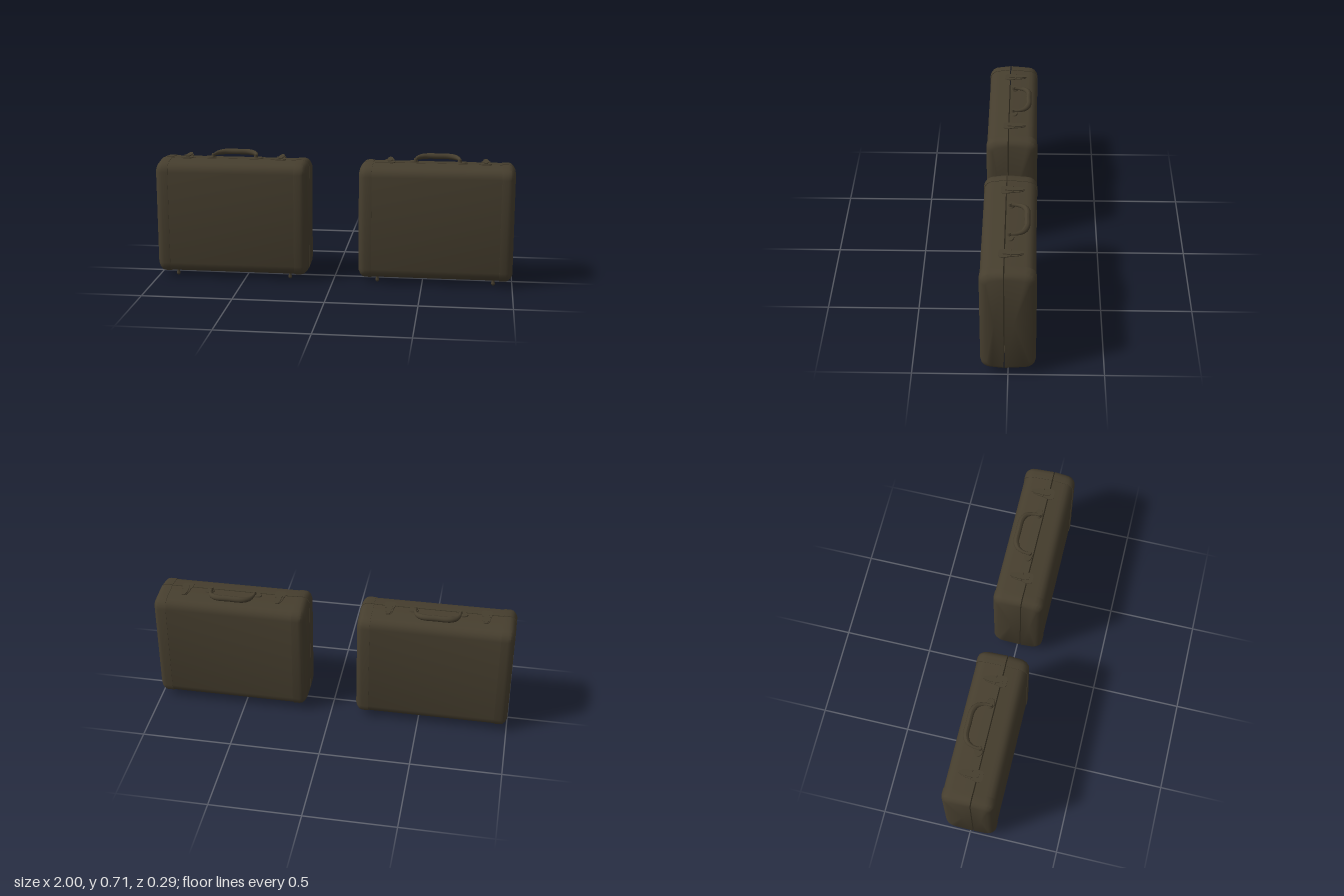
import * as THREE from 'three';
import { toCreasedNormals } from 'three/addons/utils/BufferGeometryUtils.js';

const GAP_Z = 0.02;
const TOP = 0.674;

// Half cross-section in (z, y): from the gap at the top, round the outside, to the gap at the bottom
function section(side, inset) {
  const gap = GAP_Z + side * 0.003;
  const outer = side * (0.144 - inset);
  const r = Math.max(0.056 - inset * 0.8, 0.02);
  const top = 0.665 - inset, bottom = 0.028 + inset;
  const pts = [[gap, TOP - inset]];
  for (let i = 0; i <= 4; i++) {
    const a = (i / 4) * Math.PI / 2;
    pts.push([outer - side * r * (1 - Math.sin(a)), top - r * (1 - Math.cos(a))]);
  }
  for (let i = 0; i <= 4; i++) {
    const a = (i / 4) * Math.PI / 2;
    pts.push([outer - side * r * (1 - Math.cos(a)), bottom + r * (1 - Math.sin(a))]);
  }
  pts.push([gap, 0.02 + inset]);
  return pts;
}

// Closed solid through half cross-sections given as [x, inset], x increasing
function loftHalf(side, stations) {
  const pos = [], index = [];
  const n = section(side, 0).length;
  const tri = (a, b, c) => (side > 0 ? index.push(a, b, c) : index.push(a, c, b));
  for (const [x, inset] of stations) {
    for (const [z, y] of section(side, inset)) pos.push(x, y, z);
  }
  const rows = stations.length;
  for (let r = 0; r < rows - 1; r++) {
    for (let i = 0; i < n; i++) {
      const a = r * n + i, b = r * n + (i + 1) % n;
      tri(a, b, a + n);
      tri(b, b + n, a + n);
    }
  }
  const zMid = GAP_Z + side * 0.05, last = (rows - 1) * n, c = rows * n;
  pos.push(stations[0][0], 0.347, zMid, stations[rows - 1][0], 0.347, zMid);
  for (let i = 0; i < n; i++) {
    const j = (i + 1) % n;
    tri(c, j, i);
    tri(c + 1, last + i, last + j);
  }
  const g = new THREE.BufferGeometry();
  g.setAttribute('position', new THREE.Float32BufferAttribute(pos, 3));
  g.setIndex(index);
  return toCreasedNormals(g, 0.5);
}

// Flat plate lying on the case, outlined by mirrored [half width, z] points
function plateGeometry(outline, thickness) {
  const shape = new THREE.Shape([
    ...outline.map(([w, z]) => new THREE.Vector2(w, -z)),
    ...outline.slice().reverse().map(([w, z]) => new THREE.Vector2(-w, -z)),
  ]);
  return new THREE.ExtrudeGeometry(shape, { depth: thickness, bevelEnabled: false }).rotateX(-Math.PI / 2);
}

// Tube along the handle, thick in the grip and thin at the ends
function handleGeometry() {
  const curve = new THREE.CatmullRomCurve3([
    [-0.122, 0.685, 0.0], [-0.12, 0.685, -0.035], [-0.105, 0.687, -0.07], [-0.07, 0.69, -0.09],
    [0, 0.691, -0.092],
    [0.07, 0.69, -0.09], [0.105, 0.687, -0.07], [0.12, 0.685, -0.035], [0.122, 0.685, 0.0],
  ].map(p => new THREE.Vector3(...p)));
  const seg = 40, radial = 12;
  const g = new THREE.TubeGeometry(curve, seg, 1, radial, false);
  const p = g.attributes.position, v = new THREE.Vector3();
  for (let i = 0; i <= seg; i++) {
    const t = i / seg, mid = curve.getPointAt(t);
    const radius = 0.008 + 0.008 * THREE.MathUtils.smoothstep(Math.min(t, 1 - t), 0.05, 0.3);
    for (let j = 0; j <= radial; j++) {
      const k = i * (radial + 1) + j;
      v.fromBufferAttribute(p, k).sub(mid).multiplyScalar(radius).add(mid);
      p.setXYZ(k, v.x, v.y, v.z);
    }
  }
  g.computeVertexNormals();
  return g;
}

function createCase(material) {
  const group = new THREE.Group();
  const add = (name, geometry, x = 0, y = 0, z = 0) => {
    const m = new THREE.Mesh(geometry, material);
    m.name = name;
    m.position.set(x, y, z);
    group.add(m);
    return m;
  };

  // Two shell halves, each with a middle panel and rounded end caps
  const cap = [[0.355, 0]];
  for (let i = 0; i <= 3; i++) {
    const a = (i / 3) * Math.PI / 3;
    cap.push([0.39 + 0.038 * Math.sin(a) / 0.866, 0.035 * (1 - Math.cos(a)) * 2]);
  }
  const leftCap = cap;
  const rightCap = cap.map(([x, i]) => [-x, i]).reverse();
  for (const side of [1, -1]) {
    const half = side > 0 ? 'front' : 'back';
    add(half + 'Shell', loftHalf(side, [[-0.36, 0.003], [0.36, 0.003]]));
    add(half + 'LeftEndCap', loftHalf(side, leftCap));
    add(half + 'RightEndCap', loftHalf(side, rightCap));
  }

  // Carrying handle folded towards the back
  add('handle', handleGeometry());

  const latchPlate = plateGeometry([[0.012, -0.07], [0.02, -0.045], [0.024, -0.01], [0.032, 0.02], [0.03, 0.042], [0.018, 0.05]], 0.005);
  const latchLever = plateGeometry([[0.007, -0.078], [0.014, -0.05], [0.014, 0.0], [0.009, 0.028]], 0.007);
  const footProfile = [[0, 0], [0.006, 0], [0.011, 0.007], [0.011, 0.013], [0.008, 0.019], [0.008, 0.034]]
    .map(p => new THREE.Vector2(...p));
  const foot = new THREE.LatheGeometry(footProfile, 12);

  for (const s of [1, -1]) {
    // Handle mounts
    const mount = add('handleMount', new THREE.CylinderGeometry(0.02, 0.022, 0.006, 16), s * 0.135, 0.675, -0.006);
    mount.scale.x = 1.4;
    add('handlePost', new THREE.CylinderGeometry(0.009, 0.011, 0.02, 12), s * 0.122, 0.685, -0.002);

    // Latches across the gap
    add('latchPlate', latchPlate, s * 0.265, 0.673, 0);
    add('latchLever', latchLever, s * 0.265, 0.677, 0);
    add('latchPin', new THREE.CylinderGeometry(0.004, 0.004, 0.05, 10).rotateZ(Math.PI / 2), s * 0.265, 0.679, -0.012);

    // Hinges under the gap
    add('hingePlate', new THREE.BoxGeometry(0.07, 0.006, 0.06), s * 0.25, 0.021, GAP_Z);
    add('hingePin', new THREE.CylinderGeometry(0.005, 0.005, 0.07, 10).rotateZ(Math.PI / 2), s * 0.25, 0.019, GAP_Z);

    // Feet
    for (const z of [0.08, -0.057]) add('foot', foot, s * 0.324, 0, z);
  }
  return group;
}

export function createModel() {
  const leather = new THREE.MeshStandardMaterial({ color: 0x463e2e });
  leather.name = 'dark brown leather';
  const model = new THREE.Group();
  model.name = 'briefcases';
  for (const s of [1, -1]) {
    const briefcase = createCase(leather);
    briefcase.name = s > 0 ? 'leftBriefcase' : 'rightBriefcase';
    briefcase.position.x = s * 0.572;
    model.add(briefcase);
  }
  return model;
}
